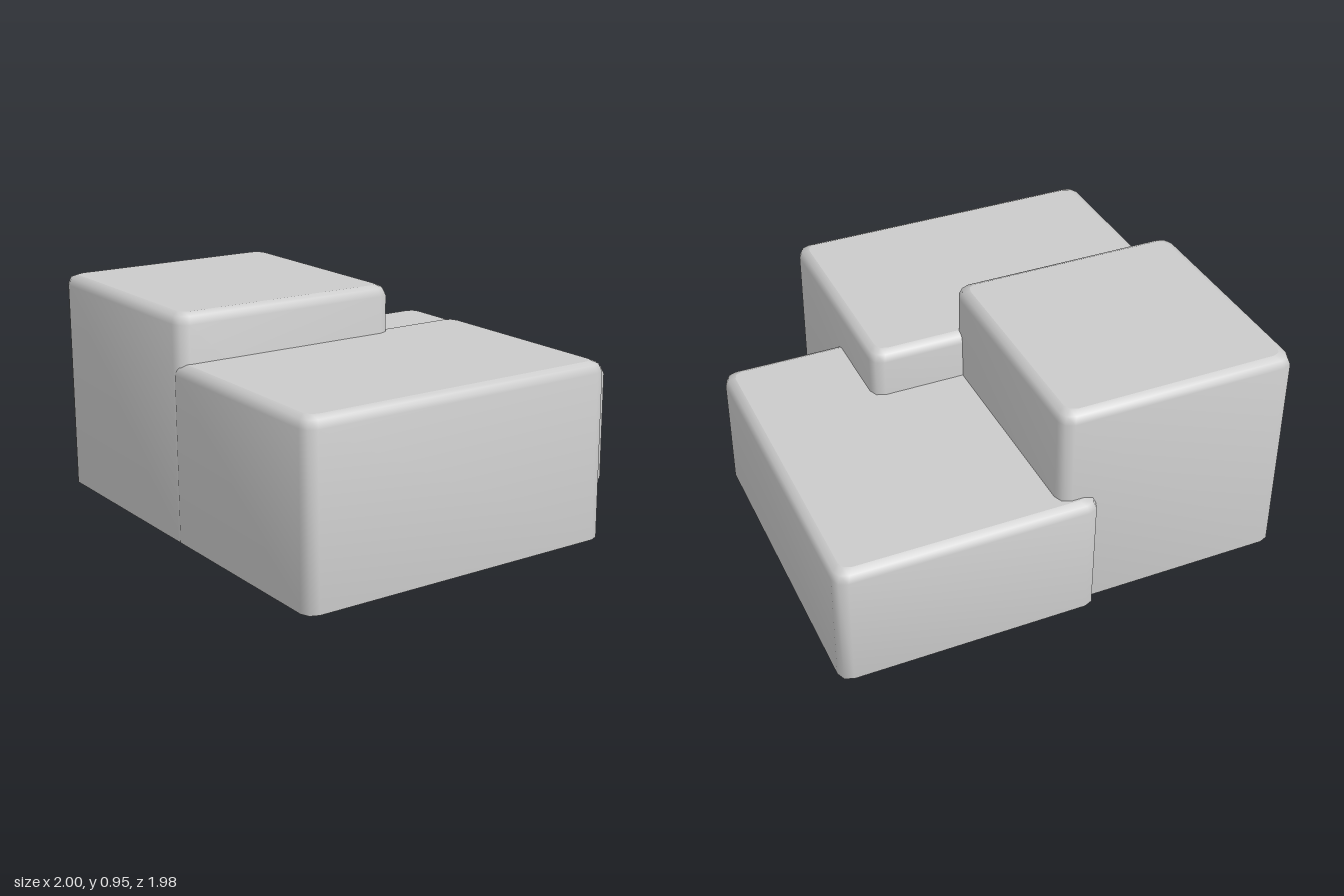
import * as THREE from 'three';
import { toCreasedNormals } from 'three/addons/utils/BufferGeometryUtils.js';

const material = new THREE.MeshStandardMaterial({ color: 0xcccccc });
const BEVEL = 0.04;
const STEPS = 2; // segments per rounded edge

// Outline of a rounded rectangle, inset from its bounds
function outline(x0, x1, z0, z1, inset, radius) {
  const points = [];
  const corners = [[x1, z1, -1, -1], [x0, z1, 1, -1], [x0, z0, 1, 1], [x1, z0, -1, 1]];
  corners.forEach(([x, z, sx, sz], c) => {
    for (let i = 0; i <= STEPS; i++) {
      const a = (c + i / STEPS) * Math.PI / 2;
      points.push([
        x + sx * (inset + radius) + radius * Math.cos(a),
        z + sz * (inset + radius) + radius * Math.sin(a),
      ]);
    }
  });
  return points;
}

// Block with rounded upright corners, a rounded top rim and a flat base
function block(name, x0, x1, z0, z1, height) {
  const levels = [[0, 0]];
  for (let i = 0; i <= STEPS; i++) {
    const a = i / STEPS * Math.PI / 2;
    levels.push([BEVEL * (1 - Math.cos(a)), height - 0.045 * (1 - Math.sin(a))]);
  }
  const rings = levels.map(([inset, y]) =>
    outline(x0, x1, z0, z1, inset, 0.052 - inset * 0.3).map(([x, z]) => [x, y, z]));

  const wall = [], caps = [];
  const n = rings[0].length, top = rings[rings.length - 1], base = rings[0];
  const cx = (x0 + x1) / 2, cz = (z0 + z1) / 2;
  for (let i = 0; i < n; i++) {
    const j = (i + 1) % n;
    for (let k = 0; k < rings.length - 1; k++) {
      const a = rings[k][i], b = rings[k][j], c = rings[k + 1][j], d = rings[k + 1][i];
      wall.push(...a, ...d, ...c, ...a, ...c, ...b);
    }
    caps.push(cx, height, cz, ...top[j], ...top[i]);
    caps.push(cx, 0, cz, ...base[i], ...base[j]);
  }

  const group = new THREE.Group();
  group.name = name;
  [['Sides', wall, Math.PI / 3], ['Caps', caps, 0.1]].forEach(([part, data, crease]) => {
    const geometry = new THREE.BufferGeometry();
    geometry.setAttribute('position', new THREE.Float32BufferAttribute(data, 3));
    const mesh = new THREE.Mesh(toCreasedNormals(geometry, crease), material);
    mesh.name = name + part;
    group.add(mesh);
  });
  return group;
}

export function createModel() {
  const model = new THREE.Group();
  model.name = 'steppedBlocks';
  model.add(
    block('lowBackBlock', -1, 0.45, -0.99, 0.12, 0.54),
    block('middleSideBlock', 0, 1, -0.45, 0.99, 0.75),
    block('tallFrontBlock', -0.95, 0.09, -0.04, 0.99, 0.955),
  );
  return model;
}
